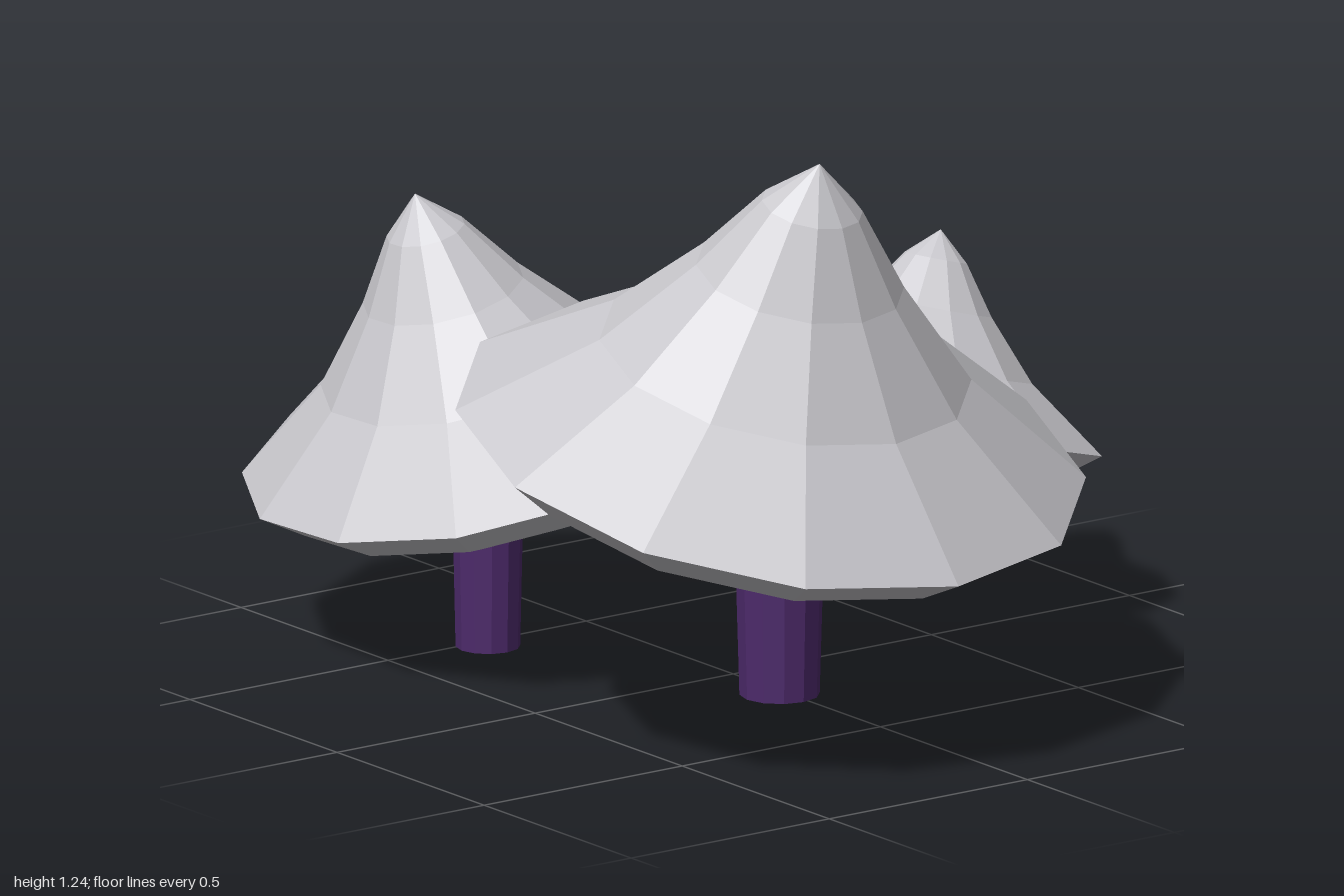
import * as THREE from 'three';

const SIDES = 12;

// Flat-shaded lathe; profile is [radius, height] from bottom to top
function turned(profile, matrix, spin = 0) {
  const points = profile.map(([r, y]) => new THREE.Vector2(r, y));
  const geometry = new THREE.LatheGeometry(points, SIDES, spin, Math.PI * 2)
    .applyMatrix4(matrix)
    .toNonIndexed();
  geometry.computeVertexNormals();
  return geometry;
}

// Unit cap: rounded underside, sharp rim, concave slope up to the tip
const CAP = [
  [0, -0.29], [0.3, -0.28], [0.6, -0.215], [0.84, -0.125],
  [1, 0], [0.59, 0.3], [0.33, 0.6], [0.16, 0.85], [0, 1],
];

// Each cap is placed by its rim centre and its side, tip and front vectors
const MUSHROOMS = [
  {
    name: 'largeMushroom', spin: 0,
    centre: [0.41, 0.61, 0.21],
    side: [0.585, -0.177, -0.04], tip: [0.18, 0.63, 0.01], front: [0.06, 0.035, 0.69],
    foot: [0.4, 0.06, 0.18], top: [0.4, 0.5, 0.18], radii: [0.082, 0.094],
  },
  {
    name: 'mediumMushroom', spin: Math.PI / SIDES,
    centre: [-0.465, 0.445, 0.28],
    side: [0.555, 0.03, 0.03], tip: [-0.065, 0.515, 0.13], front: [0.01, -0.125, 0.495],
    foot: [-0.43, 0, 0.3], top: [-0.43, 0.34, 0.3], radii: [0.066, 0.073],
  },
  {
    name: 'smallMushroom', spin: Math.PI / SIDES,
    centre: [-0.13, 0.42, -0.537],
    side: [0.388, 0.03, 0], tip: [-0.04, 0.37, -0.113], front: [-0.04, 0.11, 0.376],
    foot: [-0.165, 0.082, -0.487], top: [-0.16, 0.36, -0.505], radii: [0.048, 0.057],
  },
];

export function createModel() {
  const model = new THREE.Group();
  model.name = 'mushroomCluster';
  const capMaterial = new THREE.MeshStandardMaterial({ color: 0xc9c8cd });
  capMaterial.name = 'pale grey';
  const stalkMaterial = new THREE.MeshStandardMaterial({ color: 0x4d2a6b });
  stalkMaterial.name = 'deep purple';
  const vec = (a) => new THREE.Vector3(...a);

  for (const m of MUSHROOMS) {
    const mushroom = new THREE.Group();
    mushroom.name = m.name;

    // Tilted cap
    const tilt = new THREE.Matrix4()
      .makeBasis(vec(m.side), vec(m.tip), vec(m.front))
      .setPosition(...m.centre);
    const cap = new THREE.Mesh(turned(CAP, tilt, m.spin), capMaterial);
    cap.name = 'cap';

    // Tapered stalk with a slightly pointed foot, ending inside the cap
    const [r0, r1] = m.radii;
    const lean = new THREE.Matrix4()
      .makeBasis(vec([1, 0, 0]), vec(m.top).sub(vec(m.foot)), vec([0, 0, 1]))
      .setPosition(...m.foot);
    const stalk = new THREE.Mesh(
      turned([[0, 0], [r0, 0.04], [r1, 1], [0, 1]], lean), stalkMaterial);
    stalk.name = 'stalk';

    mushroom.add(cap, stalk);
    model.add(mushroom);
  }
  return model;
}
